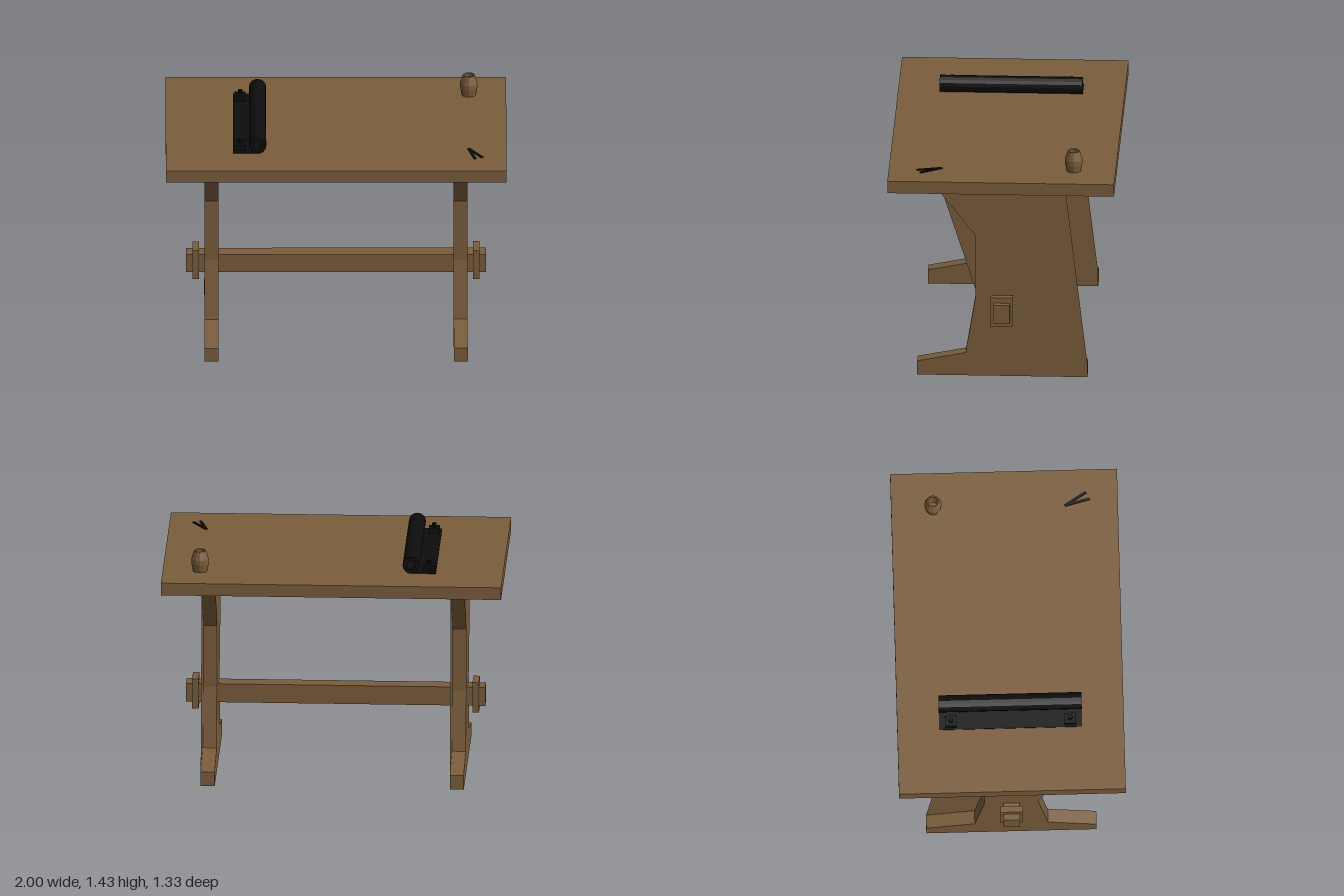
import * as THREE from 'three';

export function createModel() {
  const model = new THREE.Group();
  model.name = 'draftingTable';
  const wood = new THREE.MeshStandardMaterial({ color: 0x7a5d3c, flatShading: true, side: THREE.DoubleSide });
  wood.name = 'wood';
  const black = new THREE.MeshStandardMaterial({ color: 0x0d0d0d, flatShading: true, side: THREE.DoubleSide });
  black.name = 'black';

  function add(name, geometry, material, x = 0, y = 0, z = 0) {
    const mesh = new THREE.Mesh(geometry, material);
    mesh.name = name;
    mesh.position.set(x, y, z);
    model.add(mesh);
    return mesh;
  }
  const box = (name, w, h, d, material, x, y, z) =>
    add(name, new THREE.BoxGeometry(w, h, d), material, x, y, z);
  // Shapes are drawn as (z, y) and turned into the z-y plane
  const sideShape = (pts) => new THREE.Shape(pts.map(([z, y]) => new THREE.Vector2(-z, y)));

  const TOP = 1.305;
  box('tableTop', 2, 0.075, 1.332, wood, 0, 1.2675, 0);

  // Trestle ends: the same stepped outline front and back
  const edge = [[0.365, 1.23], [0.365, 1.15], [0.157, 0.88], [0.157, 0.5], [0.215, 0.143], [0.5, 0.086]];
  const back = edge.map(([z, y]) => [-z, y]);
  const outline = [...edge, [0.5, 0], [-0.5, 0], ...back.slice().reverse()];
  const thick = 0.082;
  for (const side of [-1, 1]) {
    const x = side * 0.732;
    const legGeo = new THREE.ExtrudeGeometry(sideShape(outline), { depth: thick, bevelEnabled: false });
    legGeo.translate(0, 0, -thick / 2).rotateY(Math.PI / 2);
    add('leg', legGeo, wood, x);

    // Thin webs bridging the hollows of the leg
    const backWeb = new THREE.ShapeGeometry(sideShape(back)).rotateY(Math.PI / 2);
    add('backWeb', backWeb, wood, x + thick / 2);
    const frontWeb = new THREE.ShapeGeometry(sideShape(edge.slice(1, 4))).rotateY(Math.PI / 2);
    add('frontWeb', frontWeb, wood, x - thick / 2);

    // Locking key around the stretcher end
    box('stretcherKey', 0.038, 0.184, 0.132, wood, side * 0.824, 0.427, 0);
  }
  box('stretcher', 1.76, 0.114, 0.096, wood, 0, 0.428, 0);

  // Hollow cup
  const cup = [[0, 0], [0.042, 0], [0.051, 0.045], [0.051, 0.075], [0.036, 0.125], [0.028, 0.125], [0.034, 0.07], [0.03, 0.02], [0, 0.02]];
  add('cup', new THREE.LatheGeometry(cup.map((p) => new THREE.Vector2(...p)), 12), wood, 0.78, TOP, -0.42);

  // Paper roll: a hollow tube with a flat sheet leading out of it
  const ring = [[0.026, -0.42], [0.05, -0.42], [0.05, 0.42], [0.026, 0.42], [0.026, -0.42]];
  const roll = new THREE.LatheGeometry(ring.map((p) => new THREE.Vector2(...p)), 16).rotateX(Math.PI / 2);
  add('paperRoll', roll, black, -0.46, TOP + 0.05, 0);
  box('paperSheet', 0.145, 0.005, 0.84, black, -0.533, TOP + 0.0025, 0);

  // Paperweights with knobs
  for (const z of [-0.35, 0.35]) {
    box('paperweight', 0.065, 0.037, 0.065, black, -0.563, TOP + 0.0185, z);
    add('weightKnob', new THREE.CylinderGeometry(0.013, 0.013, 0.025, 8), black, -0.563, TOP + 0.0495, z);
  }

  // Dividers lying open
  for (const [x, z] of [[0.817, 0.5], [0.858, 0.48]]) {
    const a = new THREE.Vector2(0.778, 0.354);
    const d = new THREE.Vector2(x, z).sub(a);
    const arm = box('dividerArm', 0.015, 0.006, d.length(), black, a.x + d.x / 2, TOP + 0.003, a.y + d.y / 2);
    arm.rotation.y = Math.atan2(d.x, d.y);
  }
  return model;
}
